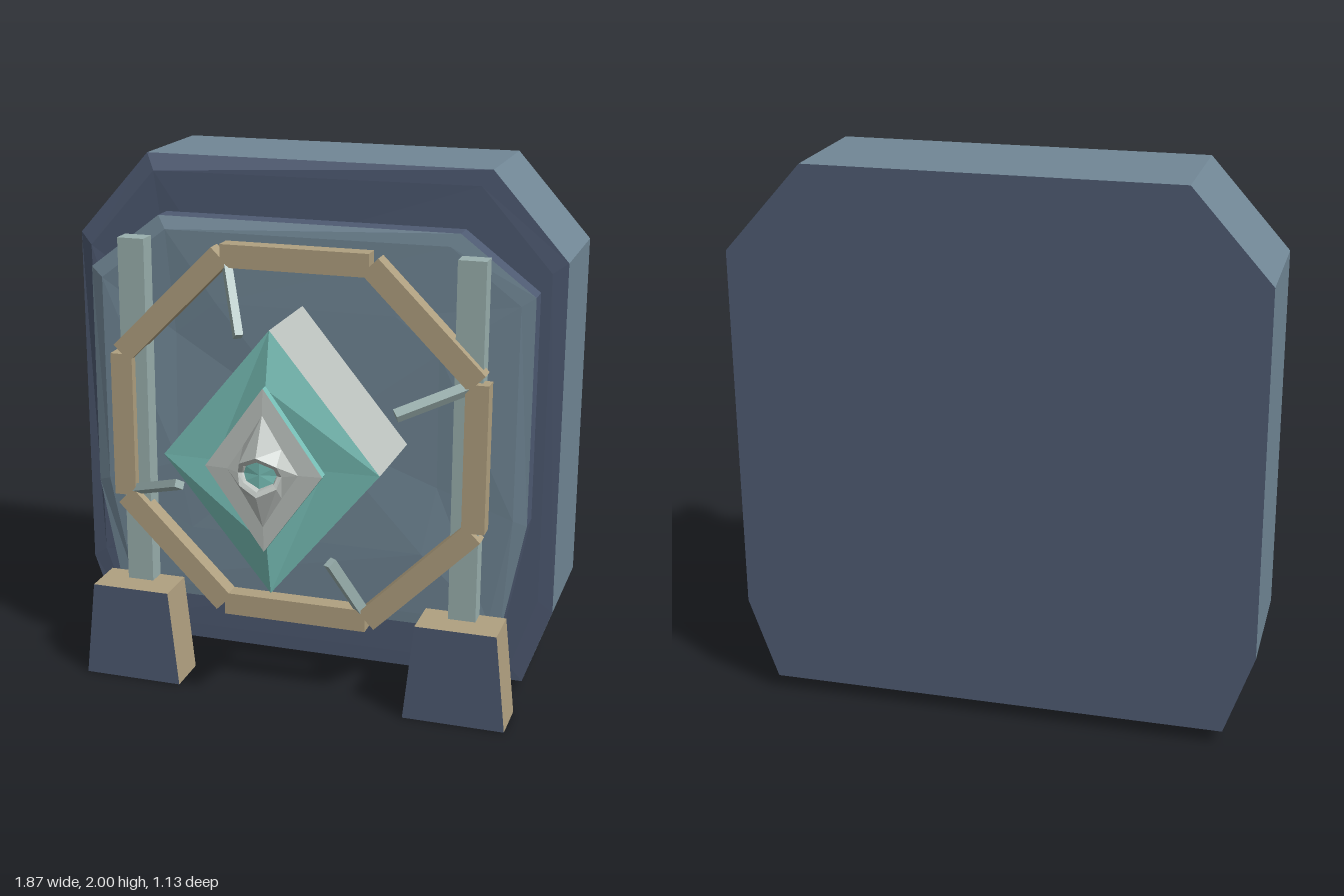
import * as THREE from 'three';

const COLORS = { navy: 0x4e5a72, slate: 0x718796, tan: 0xb0a080, teal: 0x78c0b8, sage: 0x9ab0ae, grey: 0xbcc2be };
const CY = 1.01; // height of the core's axis

const MATS = {};
for (const [name, color] of Object.entries(COLORS)) {
  MATS[name] = new THREE.MeshStandardMaterial({ color, flatShading: true });
}

function meshFrom(tris, mat, name) {
  const geo = new THREE.BufferGeometry();
  geo.setAttribute('position', new THREE.Float32BufferAttribute(tris.flat(2), 3));
  geo.computeVertexNormals();
  const mesh = new THREE.Mesh(geo, MATS[mat]);
  mesh.name = name;
  return mesh;
}

// Skin between successive rings, counter-clockwise from the front and ordered back to front
function loft(rings, mat, name, frontCentre) {
  const tris = [];
  for (let r = 0; r + 1 < rings.length; r++) {
    const a = rings[r], b = rings[r + 1], n = a.length;
    for (let i = 0; i < n; i++) {
      const j = (i + 1) % n;
      tris.push([a[i], a[j], b[j]], [a[i], b[j], b[i]]);
    }
  }
  if (frontCentre) {
    const f = rings[rings.length - 1];
    f.forEach((p, i) => tris.push([p, f[(i + 1) % f.length], frontCentre]));
  }
  return meshFrom(tris, mat, name);
}

function backCap(ring, mat, name) {
  const tris = [];
  for (let i = 1; i + 1 < ring.length; i++) tris.push([ring[0], ring[i + 1], ring[i]]);
  return meshFrom(tris, mat, name);
}

// Outline of [x, y] points set at a depth; z may be a list, one per point
const at = (pts, z, k = 1, cy = CY) =>
  pts.map(([x, y], i) => [x * k, cy + (y - cy) * k, Array.isArray(z) ? z[i] : z]);

// Diamond with its own depth at the side and the upright corners
const diamond = (rx, ry, zx, zy = zx) => [[rx, CY, zx], [0, CY + ry, zy], [-rx, CY, zx], [0, CY - ry, zy]];

// Cut-cornered slab with a roughly chiselled face
function slab(name, outline, zBack, zEdge, ridge, inner, centre, sideMat, faceMat) {
  const g = new THREE.Group();
  g.name = name;
  const back = at(outline, zBack), edge = at(outline, zEdge);
  g.add(loft([back, edge], sideMat, name + 'Rim'));
  g.add(loft([edge, at(outline, ridge, 0.94), at(outline, inner, 0.6)], faceMat, name + 'Face', [0.05, CY, centre]));
  g.add(backCap(back, 'navy', name + 'Back'));
  return g;
}

function box(w, h, d, x, y, z, mat, name) {
  const mesh = new THREE.Mesh(new THREE.BoxGeometry(w, h, d), MATS[mat]);
  mesh.position.set(x, y, z);
  mesh.name = name;
  return mesh;
}

export function createModel() {
  const model = new THREE.Group();
  model.name = 'shieldGate';

  // Two stacked stone slabs
  model.add(slab('backSlab',
    [[0.655, 2], [-0.655, 2], [-0.935, 1.685], [-0.935, 0.355], [-0.83, 0.055], [0.83, 0.055], [0.935, 0.355], [0.935, 1.685]],
    -0.565, -0.103,
    [-0.1, -0.062, -0.065, -0.095, -0.1, -0.1, -0.1, -0.098],
    [-0.1, -0.085, -0.1, -0.09, -0.1, -0.09, -0.1, -0.1], -0.1, 'slate', 'navy'));
  model.add(slab('frontSlab',
    [[0.57, 1.79], [-0.57, 1.79], [-0.845, 1.58], [-0.845, 0.73], [-0.76, 0.29], [0.76, 0.29], [0.845, 0.73], [0.845, 1.58]],
    -0.075, 0.01,
    [0.02, 0.034, 0.034, 0.028, 0.014, 0.014, 0.02, 0.016],
    [0.022, 0.03, 0.016, 0.03, 0.02, 0.026, 0.014, 0.026], 0.02, 'navy', 'slate'));

  // Tapered feet and upright posts
  for (const s of [1, -1]) {
    const side = s > 0 ? 'left' : 'right';
    const c = s * 0.6375;
    const shape = new THREE.Shape([[-0.1925, 0], [0.1925, 0], [0.1525, 0.375], [-0.1525, 0.375]]
      .map(([x, y]) => new THREE.Vector2(x, y)));
    const foot = new THREE.Mesh(
      new THREE.ExtrudeGeometry(shape, { depth: 0.174, bevelEnabled: false }), [MATS.navy, MATS.tan]);
    foot.position.set(c, 0, 0.048);
    foot.name = side + 'Foot';
    model.add(foot);
    model.add(box(0.103, 1.35, 0.073, c, 1.045, 0.082, 'sage', side + 'Post'));
  }

  // Eight-bar ring frame
  const frame = new THREE.Group();
  frame.name = 'ringFrame';
  for (let i = 0; i < 8; i++) {
    const a = i * Math.PI / 4;
    const bar = box(0.555, 0.085, 0.067, -Math.sin(a) * 0.675, CY + Math.cos(a) * 0.675, 0.118, 'tan', 'frameBar');
    bar.rotation.z = a;
    frame.add(bar);
  }
  model.add(frame);

  // Slanted struts reaching from the frame towards the core
  for (let i = 0; i < 4; i++) {
    const arm = new THREE.Group();
    arm.name = 'strut';
    const from = new THREE.Vector3(-0.257, 0.635, 0.13), to = new THREE.Vector3(-0.172, 0.41, 0.255);
    const bar = box(0.03, 0.04, from.distanceTo(to), 0, 0, 0, 'sage', 'strutBar');
    bar.position.copy(from).lerp(to, 0.5);
    bar.lookAt(to);
    arm.add(bar);
    arm.position.y = CY;
    arm.rotation.z = -i * Math.PI / 2;
    model.add(arm);
  }

  // Diamond core block with a teal sloping collar
  const core = new THREE.Group();
  core.name = 'core';
  const coreBack = diamond(0.4, 0.487, 0.045), coreFront = diamond(0.4, 0.487, 0.415);
  core.add(loft([coreBack, coreFront], 'grey', 'coreBlock'));
  core.add(backCap(coreBack, 'grey', 'coreBack'));
  core.add(loft([coreFront, diamond(0.2, 0.29, 0.422, 0.458)], 'teal', 'coreCollar', [0, CY, 0.425]));

  // Floating diamond plate
  const plateBack = diamond(0.215, 0.3, 0.455), plateFront = diamond(0.215, 0.3, 0.488);
  core.add(loft([plateBack, plateFront], 'teal', 'plateRim'));
  core.add(backCap(plateBack, 'teal', 'plateBack'));
  core.add(loft([plateFront], 'grey', 'plateFace', [0, CY, 0.505]));

  // Star boss rising to a faceted rim around a sunken eye
  const around = (rx, ry, mx, my, zx, zy, zm) => Array.from({ length: 8 }, (_, i) => {
    const q = i * Math.PI / 4, c = Math.sign(Math.round(Math.cos(q) * 9)), s = Math.sign(Math.round(Math.sin(q) * 9));
    return i % 2 ? [c * mx, CY + s * my, zm] : [c * rx, CY + s * ry, c ? zx : zy];
  });
  const rimOuter = around(0.08, 0.072, 0.068, 0.04, 0.525, 0.565, 0.545);
  const rimInner = around(0.066, 0.055, 0.055, 0.03, 0.522, 0.555, 0.538);
  const eye = around(0.06, 0.05, 0.05, 0.027, 0.517, 0.53, 0.523);
  core.add(loft([around(0.13, 0.205, 0.07, 0.09, 0.495, 0.495, 0.495), rimOuter, rimInner, eye], 'grey', 'starBoss'));
  core.add(loft([eye], 'teal', 'eye', [0, CY, 0.53]));
  model.add(core);

  return model;
}
